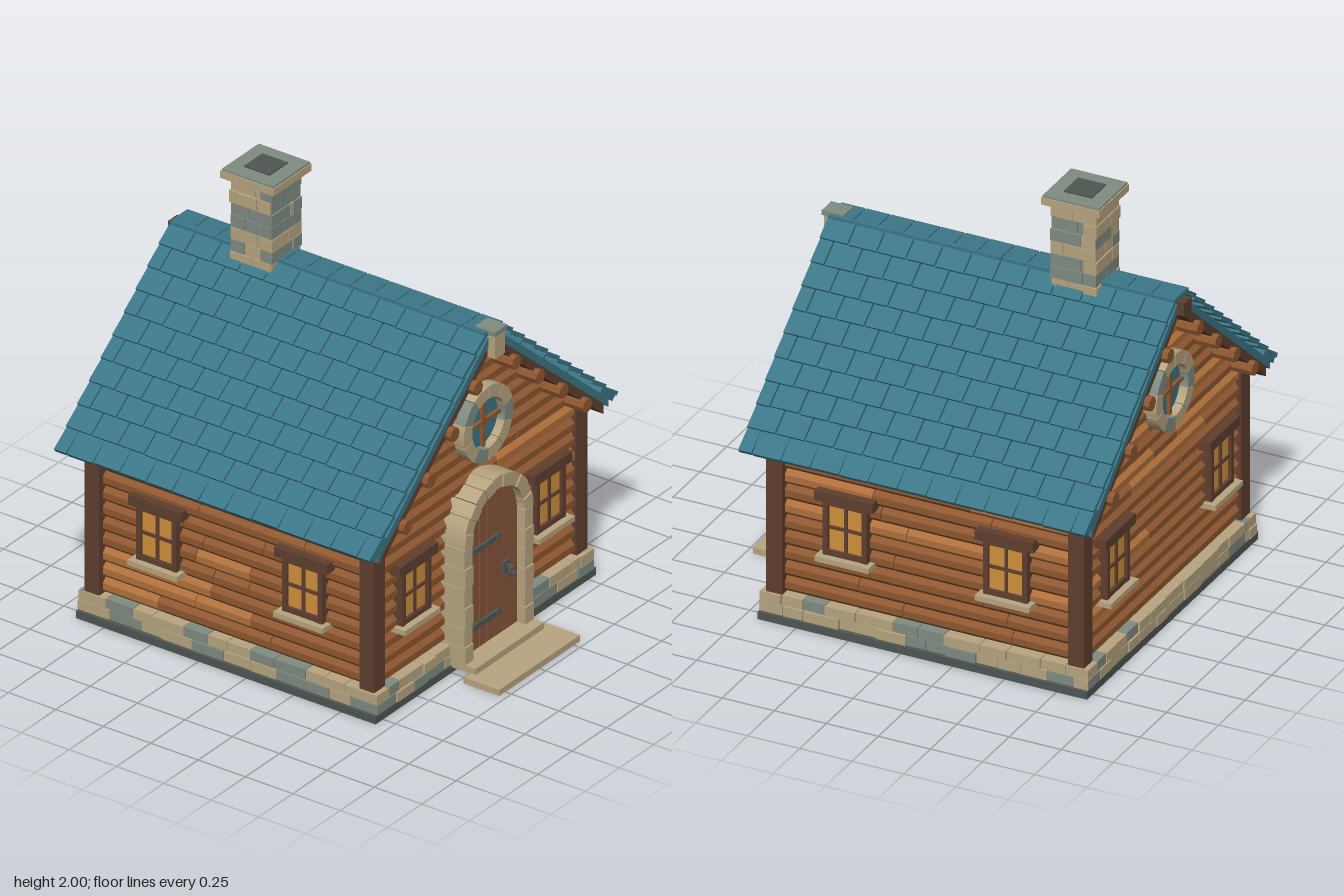
import * as THREE from 'three';

const mat = (name, color) => {
  const m = new THREE.MeshStandardMaterial({ color, flatShading: true });
  m.name = name;
  return m;
};

export function createModel() {
  const M = {
    teal: mat('roof teal', 0x3c7686),
    log: mat('log brown', 0x8f5831),
    logLight: mat('light log', 0xb0703c),
    dark: mat('dark timber', 0x5f3f2f),
    door: mat('door wood', 0x87553a),
    tan: mat('tan stone', 0xb8a580),
    grey: mat('grey stone', 0x808c82),
    slate: mat('dark slate', 0x4e5652),
    amber: mat('amber glass', 0xd0913c),
  };
  const model = new THREE.Group();
  model.name = 'cottage';
  const CZ = -0.106, K = 0.867, SLOPE = Math.atan(K); // house centre, roof pitch
  let seed = 7;
  const rnd = () => (seed = (seed * 16807) % 2147483647) / 2147483647;

  const add = (parent, name, geo, m, x = 0, y = 0, z = 0) => {
    const mesh = new THREE.Mesh(geo, m);
    mesh.name = name;
    mesh.position.set(x, y, z);
    parent.add(mesh);
    return mesh;
  };
  // box given by its limits
  const box = (parent, name, m, x0, x1, y0, y1, z0, z1) =>
    add(parent, name, new THREE.BoxGeometry(x1 - x0, y1 - y0, z1 - z0), m, (x0 + x1) / 2, (y0 + y1) / 2, (z0 + z1) / 2);
  const group = (parent, name) => {
    const g = new THREE.Group();
    g.name = name;
    parent.add(g);
    return g;
  };
  const polygon = pts => new THREE.Shape(pts.map(p => new THREE.Vector2(p[0], p[1])));
  const extrude = (shape, depth) => new THREE.ExtrudeGeometry(shape, { depth, bevelEnabled: false, curveSegments: 6 });
  const sector = (r0, r1, a0, a1) => {
    const s = new THREE.Shape();
    s.absarc(0, 0, r1, a0, a1, false);
    s.absarc(0, 0, r0, a1, a0, true);
    return s;
  };

  const house = group(model, 'house');
  house.position.z = CZ;

  // Solid core behind the logs
  add(house, 'wallCore', extrude(polygon([[-0.72, 0.1], [0.72, 0.1], [0.72, 0.87], [0, 1.5], [-0.72, 0.87]]), 1.43), M.log, 0, 0, -0.715);

  // Window with frame, bars, lintel and sill, facing +z
  const windowUnit = (parent, x) => {
    const g = group(parent, 'window');
    g.position.x = x;
    box(g, 'glass', M.amber, -0.085, 0.085, 0.4, 0.63, 0.758, 0.765);
    for (const s of [-1, 1]) box(g, 'frameSide', M.dark, s * 0.094 - 0.012, s * 0.094 + 0.012, 0.38, 0.65, 0.73, 0.782);
    box(g, 'frameBottom', M.dark, -0.1, 0.1, 0.38, 0.405, 0.73, 0.78);
    box(g, 'frameTop', M.dark, -0.1, 0.1, 0.622, 0.65, 0.73, 0.78);
    box(g, 'barVertical', M.dark, -0.007, 0.007, 0.4, 0.63, 0.76, 0.774);
    box(g, 'barHorizontal', M.dark, -0.085, 0.085, 0.508, 0.522, 0.76, 0.774);
    box(g, 'lintel', M.dark, -0.14, 0.14, 0.64, 0.688, 0.73, 0.793);
    box(g, 'sill', M.tan, -0.13, 0.13, 0.355, 0.38, 0.73, 0.812);
  };

  // Round gable window with a ring of stones
  const roundWindow = parent => {
    const g = group(parent, 'roundWindow');
    g.position.y = 1.115;
    for (let i = 0; i < 10; i++) {
      const a = (i / 10) * Math.PI * 2 + Math.PI / 2, w = Math.PI / 5 - 0.02;
      add(g, 'ringStone', extrude(sector(0.12, 0.18, a, a + w), 0.07), i % 3 === 1 ? M.grey : M.tan, 0, 0, 0.735);
    }
    add(g, 'roundGlass', new THREE.CircleGeometry(0.125, 32), M.teal, 0, 0, 0.765);
    box(g, 'roundBarVertical', M.log, -0.009, 0.009, -0.12, 0.12, 0.76, 0.782);
    box(g, 'roundBarHorizontal', M.log, -0.12, 0.12, -0.009, 0.009, 0.76, 0.782);
  };

  // Four log walls with stone footing
  const PITCH = 0.0745;
  const wall = (i, name) => {
    const gable = i % 2 === 0;
    const g = group(house, name);
    g.rotation.y = (i * Math.PI) / 2;
    for (let r = 0; r < (gable ? 18 : 10); r++) {
      const y = 0.13 + PITCH * (r + 0.5);
      const half = Math.min(0.74, (1.51 - y) / K);
      if (half < 0.03) continue;
      const n = half > 0.5 ? 3 : half > 0.2 ? 2 : 1;
      let x = -half;
      for (let k = 0; k < n; k++) {
        const end = k === n - 1 ? half : -half + (2 * half * (k + 1 + (rnd() - 0.5) * 0.7)) / n;
        const geo = new THREE.CylinderGeometry(0.0403, 0.0403, end - x - 0.005, 8);
        geo.rotateY(Math.PI / 8).rotateZ(Math.PI / 2);
        add(g, 'log', geo, rnd() < 0.2 ? M.logLight : M.log, (x + end) / 2, y, 0.715);
        x = end;
      }
    }
    // Two courses of footing stones
    for (let r = 0; r < 2; r++) {
      for (let x = -0.79; x < 0.785;) {
        let end = x + 0.09 + rnd() * 0.09;
        if (end > 0.73) end = 0.79;
        const out = 0.782 + rnd() * 0.012, y = 0.035 + r * 0.05;
        box(g, 'footingStone', rnd() < 0.38 ? M.grey : M.tan, x + 0.002, end - 0.002, y, y + 0.047, 0.7, out);
        x = end;
      }
    }
    for (const s of [-1, 1]) windowUnit(g, s * (gable ? 0.49 : 0.385));
    if (gable) roundWindow(g);
  };
  ['frontWall', 'leftWall', 'backWall', 'rightWall'].forEach((n, i) => wall(i, n));

  // Corner posts and plinth
  for (const sx of [-1, 1]) for (const sz of [-1, 1])
    box(house, 'cornerPost', M.dark, sx * 0.74 - 0.04, sx * 0.74 + 0.04, 0.13, 0.87, sz * 0.725 - 0.038, sz * 0.725 + 0.038);
  box(house, 'plinth', M.slate, -0.805, 0.805, 0, 0.036, -0.79, 0.79);

  // Roof boards: chevron slabs
  const chevron = (name, m, top, thick, w, zHalf) => add(house, name, extrude(polygon([
    [w, top - K * w], [0, top], [-w, top - K * w], [-w, top - K * w - thick], [0, top - thick], [w, top - K * w - thick],
  ]), zHalf * 2), m, 0, 0, -zHalf);
  chevron('roofBoards', M.teal, 1.592, 0.043, 0.84, 0.83);
  chevron('rafters', M.dark, 1.55, 0.05, 0.81, 0.825);

  // Overlapping shingles
  const ZH = 0.835, W = (2 * ZH) / 12;
  for (const s of [-1, 1]) {
    const side = group(house, s > 0 ? 'leftShingles' : 'rightShingles');
    for (let r = 0; r < 10; r++) {
      const x = 0.09 + 0.085 * r;
      for (let j = 0; j < 13; j++) {
        const z0 = Math.max(-ZH, -ZH + (j - (r % 2) / 2) * W), z1 = Math.min(ZH, -ZH + (j + 1 - (r % 2) / 2) * W);
        if (z1 - z0 < 0.01) continue;
        const geo = new THREE.BoxGeometry(0.116 + rnd() * 0.008, 0.02, z1 - z0 - 0.007);
        add(side, 'shingle', geo, M.teal, s * x, 1.632 - K * x, (z0 + z1) / 2).rotation.z = -s * (SLOPE - 0.1);
      }
    }
    add(side, 'eaveStrip', new THREE.BoxGeometry(0.12, 0.035, 2 * ZH - 0.01), M.teal, s * 0.835, 1.612 - K * 0.835, 0).rotation.z = -s * SLOPE;
    // Purlin ends
    for (let i = 0; i < 4; i++) {
      const x = 0.14 + i * 0.172;
      add(house, 'purlin', new THREE.CylinderGeometry(0.034, 0.034, 1.706, 8).rotateX(Math.PI / 2), M.log, s * x, 1.487 - K * x, 0);
    }
  }

  // Ridge caps, ridge beam and front ridge stone
  for (let i = 0; i < 14; i++) {
    const z = -ZH + (i * 2 * ZH) / 14;
    box(house, 'ridgeCap', M.teal, -0.066, 0.066, 1.573, 1.596, z + 0.003, z + 0.116);
  }
  box(house, 'ridgeBeam', M.dark, -0.034, 0.034, 1.51, 1.573, -0.863, 0.8);
  box(model, 'ridgeStone', M.tan, -0.036, 0.036, 1.465, 1.585, 0.66, 0.758);
  box(model, 'ridgeStoneCap', M.grey, -0.046, 0.046, 1.58, 1.602, 0.66, 0.765);

  // Chimney: courses of stones around a core
  const chimney = group(model, 'chimney');
  chimney.position.z = -0.476;
  box(chimney, 'chimneyCore', M.tan, -0.098, 0.098, 1.4, 1.95, -0.098, 0.098);
  for (let r = 0; r < 9; r++) {
    const y = 1.41 + r * 0.06;
    for (let i = 0; i < 4; i++) {
      const face = group(chimney, 'chimneyCourse');
      face.rotation.y = (i * Math.PI) / 2;
      const split = (rnd() - 0.5) * 0.1, out = 0.104 + rnd() * 0.01;
      const grey = r % 3 === 0 || rnd() < 0.12;
      box(face, 'chimneyStone', grey ? M.grey : M.tan, -out, split - 0.002, y, y + 0.057, 0.05, out);
      box(face, 'chimneyStone', grey && rnd() < 0.7 ? M.grey : M.tan, split + 0.002, 0.104, y, y + 0.057, 0.05, out);
    }
  }
  box(chimney, 'chimneyCap', M.tan, -0.14, 0.14, 1.95, 1.985, -0.14, 0.14);
  box(chimney, 'chimneyCapTop', M.grey, -0.135, 0.135, 1.985, 1.994, -0.135, 0.135);
  box(chimney, 'flue', M.slate, -0.067, 0.067, 1.99, 2, -0.067, 0.067);

  // Door of seven planks under a round arch
  const door = group(model, 'door');
  const SPRING = 0.62, R = 0.192, PW = (2 * R) / 7;
  for (let i = 0; i < 7; i++) {
    const x0 = -R + i * PW + 0.002, x1 = x0 + PW - 0.004, pts = [[x0, 0.06], [x1, 0.06]];
    for (let k = 0; k <= 4; k++) {
      const x = x1 + ((x0 - x1) * k) / 4;
      pts.push([x, SPRING + Math.sqrt(R * R - x * x)]);
    }
    add(door, 'plank', extrude(polygon(pts), 0.07), M.door, 0, 0, 0.64);
  }
  for (const y of [0.18, 0.55]) {
    box(door, 'hinge', M.slate, -0.18, 0.06, y - 0.012, y + 0.012, 0.71, 0.724);
    for (const x of [-0.15, -0.06, 0.03]) box(door, 'hingeStud', M.slate, x - 0.007, x + 0.007, y - 0.007, y + 0.007, 0.72, 0.731);
  }
  box(door, 'handlePlate', M.slate, 0.078, 0.118, 0.345, 0.405, 0.71, 0.726);
  box(door, 'handlePin', M.slate, 0.09, 0.106, 0.375, 0.391, 0.72, 0.765);
  add(door, 'handleRing', new THREE.TorusGeometry(0.022, 0.006, 6, 16), M.slate, 0.098, 0.365, 0.752);

  // Stone surround
  for (const s of [-1, 1]) for (let i = 0; i < 6; i++) {
    const y = 0.05 + i * 0.095, xo = s * 0.22;
    box(door, 'jambStone', M.tan, xo - 0.03, xo + 0.03, y, y + 0.092, 0.62, 0.757 - (i % 2) * 0.005);
  }
  for (let i = 0; i < 11; i++) {
    const a = (i * Math.PI) / 11;
    add(door, 'archStone', extrude(sector(0.19, 0.25, a + 0.008, a + Math.PI / 11 - 0.008), 0.135 - (i % 2) * 0.005), M.tan, 0, SPRING, 0.62);
  }

  // Entrance steps
  box(model, 'upperStep', M.tan, -0.25, 0.25, 0.028, 0.06, 0.66, 0.81);
  box(model, 'lowerStep', M.tan, -0.295, 0.295, 0, 0.03, 0.78, 0.968);
  return model;
}
